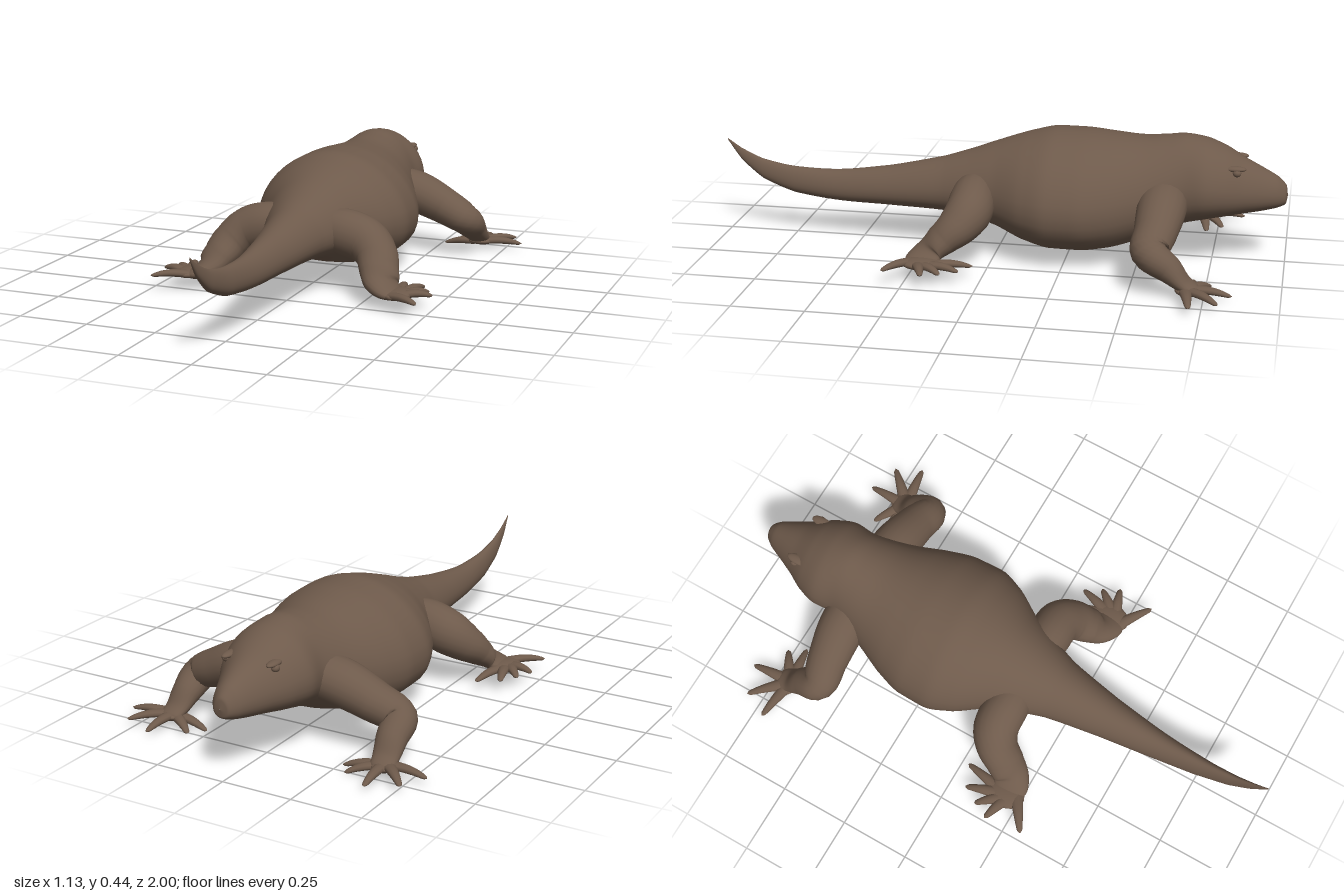
import * as THREE from 'three';

const UP = new THREE.Vector3(0, 1, 0);

// Skin a list of closed rings with smooth normals
function skin(rings) {
  const n = rings[0].length, pos = [], idx = [];
  rings.forEach(r => r.forEach(p => pos.push(p.x, p.y, p.z)));
  for (let i = 0; i < rings.length - 1; i++) {
    for (let j = 0; j < n; j++) {
      const a = i * n + j, b = i * n + (j + 1) % n;
      idx.push(a, b, a + n, b, b + n, a + n);
    }
  }
  const g = new THREE.BufferGeometry();
  g.setAttribute('position', new THREE.Float32BufferAttribute(pos, 3));
  g.setIndex(idx);
  g.computeVertexNormals();
  return g;
}

// Body: cross-sections along z given as [z, top, bottom, half width]
function bodyGeometry(sections, steps, sides) {
  const size = new THREE.CatmullRomCurve3(sections.map(s => new THREE.Vector3(s[1], s[2], s[3])));
  const along = new THREE.CatmullRomCurve3(sections.map(s => new THREE.Vector3(0, 0, s[0])));
  const rings = [];
  for (let i = 0; i <= steps; i++) {
    const { x: top, y: bottom, z: w } = size.getPoint(i / steps);
    const z = along.getPoint(i / steps).z;
    const mid = bottom + (top - bottom) * 0.43;
    rings.push(Array.from({ length: sides }, (_, j) => {
      const a = j / sides * Math.PI * 2, c = Math.cos(a), s = Math.sin(a);
      // sloping back above, flattened belly below
      if (s > 0) return new THREE.Vector3(c * w * (1 - 0.1 * s), mid + s * (top - mid), z);
      return new THREE.Vector3(c * w, mid - Math.pow(-s, 0.82) * (mid - bottom), z);
    }));
  }
  return skin(rings);
}

// Limb: path points given as [x, y, z, half width, half height]
function limbGeometry(points, mirror, steps, sides) {
  const path = new THREE.CatmullRomCurve3(points.map(p => new THREE.Vector3(p[0] * mirror, p[1], p[2])));
  const size = new THREE.CatmullRomCurve3(points.map((p, i) => new THREE.Vector3(p[3], p[4], i * 0.1)));
  const rings = [];
  for (let i = 0; i <= steps; i++) {
    const t = i / steps, c = path.getPoint(t), d = path.getTangent(t), r = size.getPoint(t);
    const side = d.clone().cross(UP).normalize(), normal = d.clone().cross(side);
    rings.push(Array.from({ length: sides }, (_, j) => {
      const a = j / sides * Math.PI * 2;
      return c.clone().addScaledVector(side, Math.cos(a) * Math.max(r.x, 0.001))
        .addScaledVector(normal, Math.sin(a) * Math.max(r.y, 0.001));
    }));
  }
  return skin(rings);
}

const BODY = [
  [-1, .2505, .2495, .001], [-.995, .284, .221, .027], [-.965, .315, .206, .052], [-.91, .345, .193, .078],
  [-.85, .375, .183, .108], [-.79, .41, .172, .143], [-.72, .438, .158, .165], [-.65, .449, .14, .16],
  [-.58, .442, .112, .178], [-.5, .435, .076, .21], [-.4, .44, .046, .255], [-.3, .447, .035, .285],
  [-.2, .447, .037, .288], [-.1, .425, .06, .255], [0, .392, .097, .19], [.1, .355, .122, .148],
  [.2, .322, .132, .112], [.4, .277, .136, .075], [.6, .251, .14, .048], [.75, .254, .158, .032],
  [.87, .276, .203, .019], [.95, .312, .27, .009], [1, .346, .34, .001],
];

const FRONT_LEG = [
  [.08, .25, -.585, .085, .075], [.19, .23, -.585, .084, .078], [.3, .187, -.577, .073, .068],
  [.382, .146, -.57, .064, .058], [.395, .098, -.635, .052, .045], [.402, .055, -.685, .045, .026],
  [.408, .037, -.725, .038, .016], [.408, .034, -.745, .004, .004],
];
const HIND_LEG = [
  [.06, .23, .07, .07, .07], [.15, .22, .068, .079, .082], [.225, .195, .07, .08, .08],
  [.272, .158, .1, .074, .068], [.3, .115, .15, .068, .052], [.328, .078, .19, .062, .034],
  [.37, .06, .205, .058, .02], [.41, .057, .205, .004, .004],
];

// Palms as [position, scale]
const FRONT_PALM = [[.41, .038, -.7], [.052, .016, .045]];
const HIND_PALM = [[.385, .06, .2], [.052, .018, .07]];

// Toe roots and tips
const FINGERS = [
  [[.42, .038, -.69], [.565, .034, -.712]], [[.42, .04, -.7], [.52, .034, -.803]],
  [[.405, .04, -.7], [.413, .026, -.843]], [[.395, .036, -.7], [.3, .016, -.768]],
  [[.395, .034, -.69], [.262, .012, -.712]],
];
const TOES = [
  [[.385, .058, .18], [.354, .05, .03]], [[.395, .06, .18], [.433, .056, .062]],
  [[.4, .06, .2], [.47, .056, .12]], [[.4, .06, .21], [.5, .06, .178]],
  [[.37, .06, .235], [.487, .064, .315]],
];

function toePoints([[x0, y0, z0], [x1, y1, z1]]) {
  const at = (t, lift, w, h) => [x0 + (x1 - x0) * t, y0 + (y1 - y0) * t + lift, z0 + (z1 - z0) * t, w, h];
  return [at(0, 0, .024, .013), at(.45, .006, .018, .013), at(.75, .004, .013, .01), at(.93, 0, .009, .006), at(1, 0, .001, .001)];
}

export function createModel() {
  const model = new THREE.Group();
  const skinBrown = new THREE.MeshStandardMaterial({ color: 0x6e5a4b });
  skinBrown.name = 'skinBrown';

  const add = (parent, name, geometry) => {
    const mesh = new THREE.Mesh(geometry, skinBrown);
    mesh.name = name;
    parent.add(mesh);
    return mesh;
  };
  const addBlob = (parent, name, [x, y, z], scale, mirror) => {
    const mesh = add(parent, name, new THREE.SphereGeometry(1, 18, 12));
    mesh.position.set(x * mirror, y, z);
    mesh.scale.set(...scale);
  };

  add(model, 'headBodyAndTail', bodyGeometry(BODY, 132, 40));

  for (const [side, mirror] of [['left', 1], ['right', -1]]) {
    // Legs with their palms and toes
    for (const [name, leg, palm, toes] of [
      ['FrontLeg', FRONT_LEG, FRONT_PALM, FINGERS], ['HindLeg', HIND_LEG, HIND_PALM, TOES],
    ]) {
      const group = new THREE.Group();
      group.name = side + name;
      add(group, 'leg', limbGeometry(leg, mirror, 42, 20));
      addBlob(group, 'palm', ...palm, mirror);
      toes.forEach((toe, i) => add(group, 'toe' + (i + 1), limbGeometry(toePoints(toe), mirror, 12, 10)));
      model.add(group);
    }
    // Small eye bulge under a low brow
    addBlob(model, side + 'Eye', [.092, .346, -.828], [.014, .013, .015], mirror);
    addBlob(model, side + 'Brow', [.083, .358, -.82], [.018, .01, .04], mirror);
  }
  return model;
}
